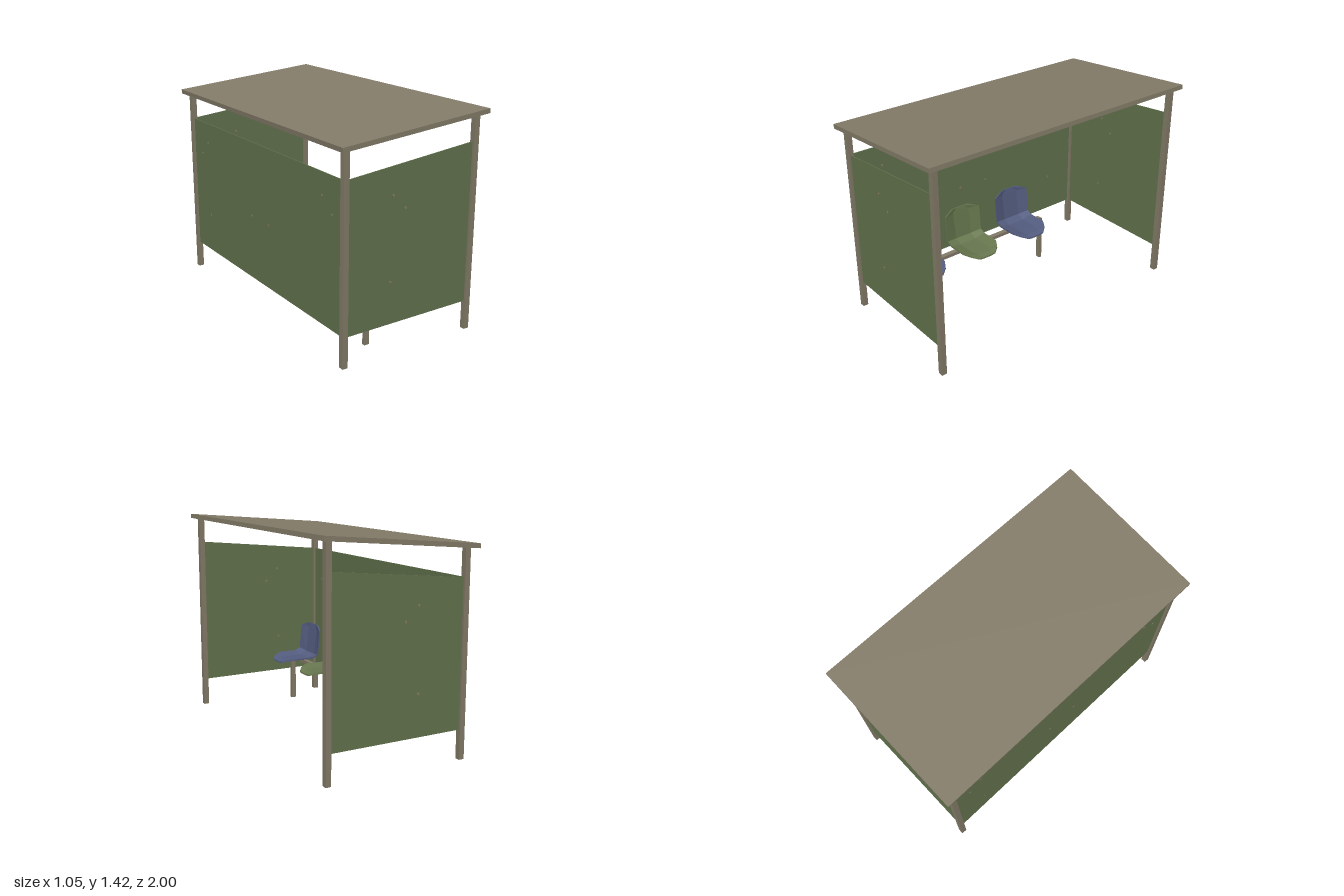
import * as THREE from 'three';

const mat = (name, color, extra = {}) => {
  const m = new THREE.MeshStandardMaterial({ color, ...extra });
  m.name = name;
  return m;
};

// Shell lofted from cross-sections: an upper skin, a lower skin and closed rims
function seatGeometry() {
  // x, y, half width, inward normal (nx, ny), bow of the side edges
  const rows = [
    [0.0, 0.336, 0.065, -0.1, 1, 0.004],
    [-0.035, 0.345, 0.11, -0.1, 1, 0.01],
    [-0.09, 0.347, 0.142, 0, 1, 0.018],
    [-0.225, 0.345, 0.142, 0.15, 1, 0.018],
    [-0.275, 0.37, 0.142, 0.8, 0.6, 0.018],
    [-0.3, 0.555, 0.142, 1, 0.15, 0.022],
    [-0.305, 0.588, 0.068, 1, 0.15, 0.006],
  ];
  const across = [-1, -0.45, 0.45, 1];
  const thick = 0.01;
  const loops = rows.map(([x, y, w, nx, ny, bow]) => {
    const skin = (drop) => across.map((t) => {
      const lift = (Math.abs(t) === 1 ? bow : 0) - drop;
      return [x + nx * lift, y + ny * lift, t * w];
    });
    return [...skin(0), ...skin(thick).reverse()];
  });
  const pos = [];
  const quad = (a, b, c, d) => pos.push(...a, ...b, ...c, ...a, ...c, ...d);
  const n = across.length * 2;
  for (let i = 0; i < loops.length - 1; i++) {
    for (let j = 0; j < n; j++) {
      const k = (j + 1) % n;
      quad(loops[i][j], loops[i + 1][j], loops[i + 1][k], loops[i][k]);
    }
  }
  // front and top rims
  const cap = (l, flip) => {
    for (let j = 0; j < 3; j++) {
      const q = [l[j], l[j + 1], l[n - 2 - j], l[n - 1 - j]];
      quad(...(flip ? q.reverse() : q));
    }
  };
  cap(loops[0], false);
  cap(loops[loops.length - 1], true);
  const g = new THREE.BufferGeometry();
  g.setAttribute('position', new THREE.Float32BufferAttribute(pos, 3));
  g.computeVertexNormals();
  return g;
}

// Extruded outline, centred on its depth
function plate(points, depth) {
  const shape = new THREE.Shape(points.map(([x, y]) => new THREE.Vector2(x, y)));
  const g = new THREE.ExtrudeGeometry(shape, { depth, bevelEnabled: false });
  return g.translate(0, 0, -depth / 2);
}

export function createModel() {
  const model = new THREE.Group();
  model.name = 'shelter';
  const frame = mat('taupe frame', 0x857d6a);
  const green = mat('green panel', 0x64744e);
  const greenSeat = mat('green seat', 0x68784f, { side: THREE.DoubleSide });
  const blue = mat('blue seat', 0x545d80, { side: THREE.DoubleSide });

  const add = (name, geo, material, x = 0, y = 0, z = 0) => {
    const m = new THREE.Mesh(geo, material);
    m.name = name;
    m.position.set(x, y, z);
    model.add(m);
    return m;
  };

  // Sloping roof slab
  const slope = 0.086;
  add('roof', new THREE.BoxGeometry(1.053, 0.029, 2), frame, -0.001, 1.363, 0)
    .rotation.z = Math.atan(slope);

  // Corner posts, taller on the open side
  for (const sx of [-1, 1]) {
    for (const sz of [-1, 1]) {
      const h = 1.351 + sx * 0.469 * slope;
      add('post', new THREE.BoxGeometry(0.036, h, 0.036), frame, sx * 0.469, h / 2, sz * 0.94);
    }
  }

  // Wall panels
  const side = plate([[-0.453, 0.19], [0.453, 0.19], [0.453, 1.221], [-0.453, 1.131]], 0.006);
  for (const sz of [-1, 1]) add('sidePanel', side, green, 0, 0, sz * 0.94);
  add('backPanel', new THREE.BoxGeometry(0.006, 0.94, 1.846), green, -0.469, 0.66, 0);

  // Small fixings through the panels
  const stud = new THREE.CylinderGeometry(0.009, 0.009, 0.01, 6);
  for (const sz of [-1, 1]) {
    for (const [x, y] of [[-0.135, 0.99], [-0.045, 0.9], [-0.143, 0.46]]) {
      add('sideFixing', stud, frame, x, y, sz * 0.94).rotation.x = Math.PI / 2;
    }
  }
  for (const [z, y] of [[0.72, 0.99], [0.82, 0.9], [-0.72, 0.99], [-0.81, 0.9],
    [0.11, 0.63], [-0.11, 0.63], [-0.71, 0.46]]) {
    add('backFixing', stud, frame, -0.469, y, z).rotation.z = Math.PI / 2;
  }

  // Bench frame: one rail with a leg at each end
  const a = 0.595, b = 0.573;
  const bench = plate([[-a, 0], [-b, 0], [-b, 0.315], [b, 0.315], [b, 0], [a, 0],
    [a, 0.33], [a - 0.01, 0.338], [-a + 0.01, 0.338], [-a, 0.33]], 0.034);
  add('benchFrame', bench, frame, -0.189, 0, 0.192).rotation.y = Math.PI / 2;

  // Three bucket seats
  const seat = seatGeometry();
  [[0.66, blue], [0.23, greenSeat], [-0.2, blue]].forEach(([z, m]) => add('seat', seat, m, 0, 0, z));

  return model;
}
